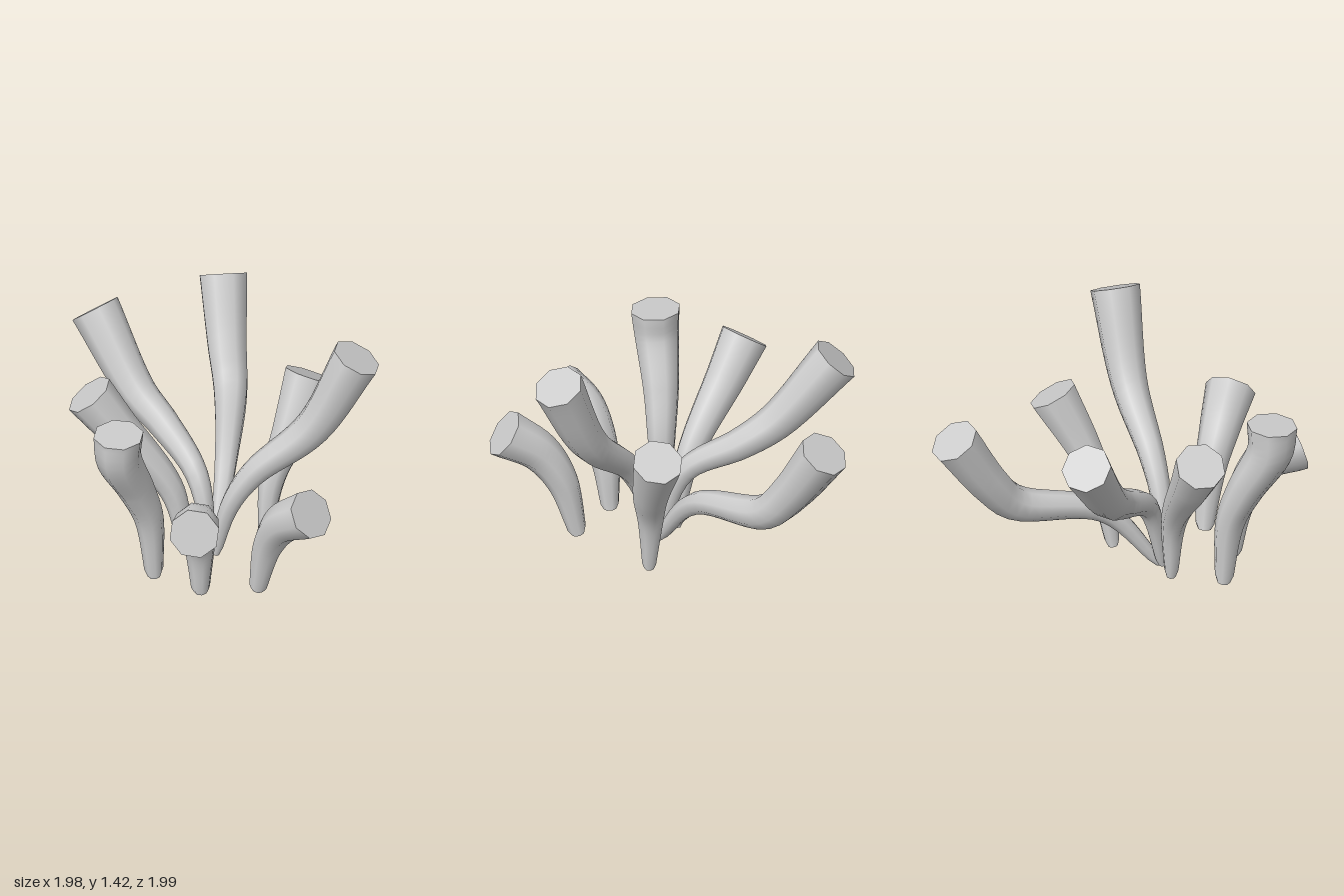
import * as THREE from 'three';

const SIDES = 8;
const STEPS = 24;
const BASE_Y = 0.02;
const TIP_RADIUS = 0.143;

// Tapered tube: the rings of a unit tube are resized along the path
function taperedTube(curve, baseRadius) {
  const geo = new THREE.TubeGeometry(curve, STEPS, 1, SIDES, false);
  const pos = geo.attributes.position;
  const v = new THREE.Vector3();
  for (let k = 0; k < pos.count; k++) {
    const ring = Math.floor(k / (SIDES + 1));
    const centre = curve.getPointAt(ring / STEPS);
    const radius = ring === 0 ? baseRadius * 0.75 : THREE.MathUtils.lerp(baseRadius, TIP_RADIUS, ring / STEPS);
    v.fromBufferAttribute(pos, k).sub(centre).multiplyScalar(radius).add(centre);
    pos.setXYZ(k, v.x, v.y, v.z);
  }
  return geo;
}

// Flat fan closing one end ring of the tube
function endCap(tube, curve, atTip) {
  const first = atTip ? STEPS * (SIDES + 1) : 0;
  const centre = curve.getPointAt(atTip ? 1 : 0);
  const rim = (j) => new THREE.Vector3().fromBufferAttribute(tube.attributes.position, first + j);
  const points = [];
  for (let j = 0; j < SIDES; j++) {
    points.push(centre, rim(atTip ? j + 1 : j), rim(atTip ? j : j + 1));
  }
  const geo = new THREE.BufferGeometry().setFromPoints(points);
  geo.computeVertexNormals();
  return geo;
}

export function createModel() {
  const model = new THREE.Group();
  model.name = 'stalkCluster';
  const material = new THREE.MeshStandardMaterial({ color: 0xcccccc });

  // One stalk rising from the ground at (x, z) through its bends to the cut tip
  function addStalk(name, x, z, baseRadius, ...bends) {
    const points = [[x, BASE_Y, z], ...bends].map((p) => new THREE.Vector3(...p));
    const curve = new THREE.CatmullRomCurve3(points);
    const tube = taperedTube(curve, baseRadius);
    const parts = { stem: tube, baseCap: endCap(tube, curve, false), cutTip: endCap(tube, curve, true) };
    const stalk = new THREE.Group();
    stalk.name = name;
    for (const [part, geo] of Object.entries(parts)) {
      const mesh = new THREE.Mesh(geo, material);
      mesh.name = part;
      stalk.add(mesh);
    }
    model.add(stalk);
  }

  // Three long stalks sharing one foot
  addStalk('backRightStalk', 0.09, 0.18, 0.032, [-0.04, 0.4, -0.12], [-0.31, 0.56, -0.57], [-0.42, 0.74, -0.7], [-0.56, 1.07, -0.87]);
  addStalk('sideRightStalk', 0.08, 0.2, 0.032, [-0.06, 0.46, 0.14], [-0.35, 0.64, 0.04], [-0.55, 0.77, 0.01], [-0.88, 1.16, -0.06]);
  addStalk('tallLeftStalk', 0.1, 0.19, 0.032, [0.19, 0.37, 0.17], [0.3, 0.58, 0.1], [0.57, 0.88, -0.08], [0.79, 1.36, -0.2]);

  // Shorter stalks standing around them
  addStalk('backLeftStalk', 0.23, -0.11, 0.038, [0.24, 0.38, -0.175], [0.275, 0.62, -0.29], [0.29, 0.93, -0.465]);
  addStalk('sideLeftStalk', 0.5, 0.36, 0.05, [0.59, 0.37, 0.38], [0.71, 0.56, 0.41], [0.91, 0.705, 0.435]);
  addStalk('frontLeftStalk', 0.25, 0.56, 0.05, [0.275, 0.36, 0.605], [0.35, 0.6, 0.74], [0.44, 0.655, 0.905]);
  addStalk('frontStalk', -0.055, 0.57, 0.05, [-0.065, 0.42, 0.61], [-0.09, 0.65, 0.7], [-0.11, 0.93, 0.845], [-0.105, 1.09, 0.855]);
  addStalk('frontRightStalk', -0.045, 0.27, 0.036, [-0.12, 0.42, 0.3], [-0.4, 0.84, 0.455], [-0.525, 1.03, 0.525]);
  return model;
}
